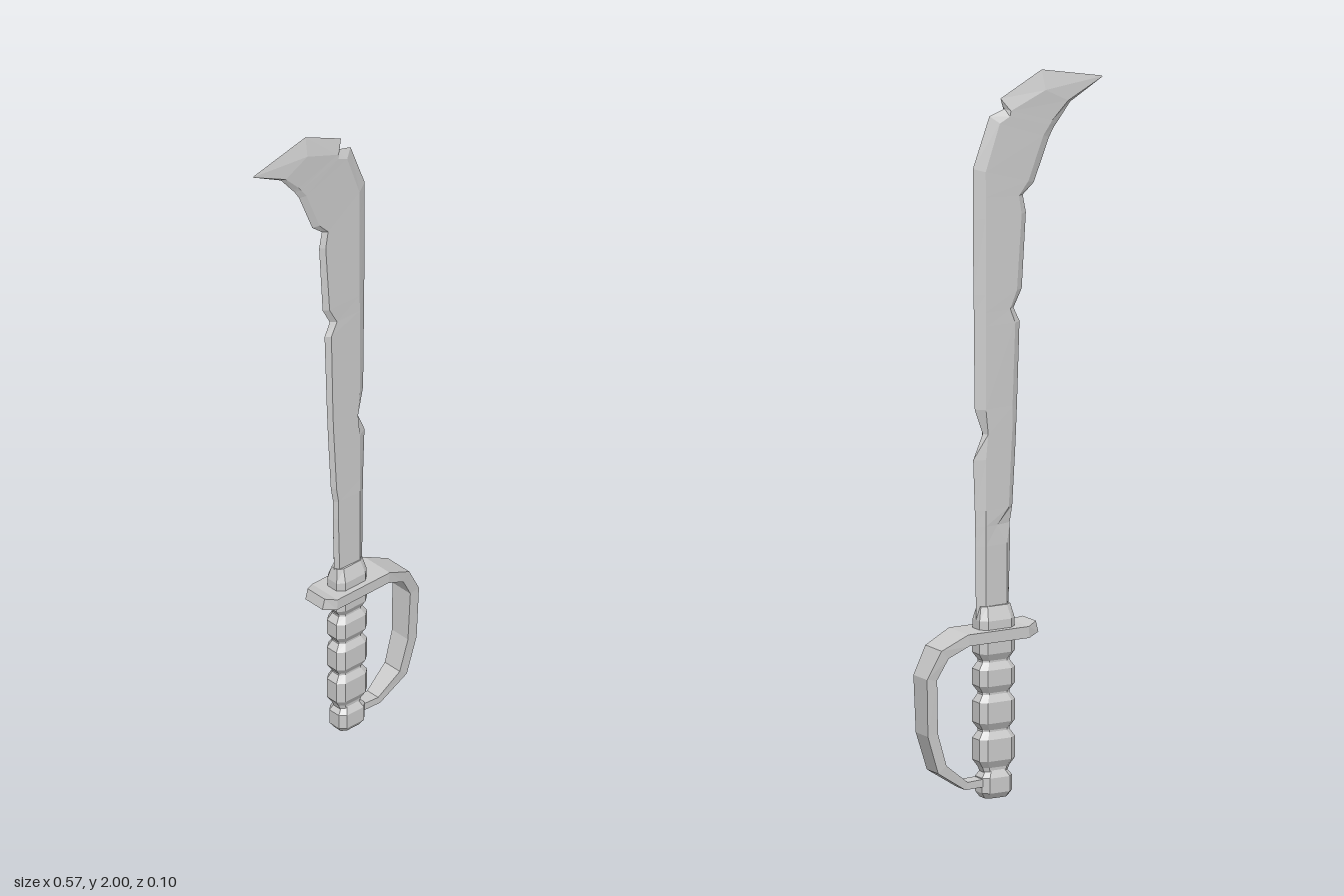
import * as THREE from 'three';

const material = new THREE.MeshStandardMaterial({ color: 0xcccccc, flatShading: true });

// Skins a stack of rings (equal point counts) and closes both ends.
function loft(name, rings) {
  const n = rings[0].length, pos = [], idx = [];
  rings.forEach(r => r.forEach(p => pos.push(...p)));
  for (let i = 0; i < rings.length - 1; i++) {
    for (let j = 0; j < n; j++) {
      const a = i * n + j, b = i * n + (j + 1) % n;
      idx.push(a, b, b + n, a, b + n, a + n);
    }
  }
  const top = (rings.length - 1) * n;
  for (let j = 1; j < n - 1; j++) idx.push(0, j + 1, j, top, top + j, top + j + 1);
  const indexed = new THREE.BufferGeometry();
  indexed.setAttribute('position', new THREE.Float32BufferAttribute(pos, 3));
  indexed.setIndex(idx);
  const geo = indexed.toNonIndexed();
  geo.computeVertexNormals();
  const mesh = new THREE.Mesh(geo, material);
  mesh.name = name;
  return mesh;
}

// Blade: cutting edge, spine ridge, spine edge, then front and back bevel share.
function makeBlade() {
  const stations = [
    [[0.012, 0.45], [0.09, 0.45], [0.112, 0.45], 0.1, 0.15],
    [[0.005, 0.7], [0.09, 0.7], [0.114, 0.7], 0.1, 0.2],
    [[0.006, 0.755], [0.09, 0.755], [0.115, 0.755], 0.1, 0.55],
    [[-0.002, 0.8], [0.09, 0.8], [0.116, 0.8], 0.1, 0.2],
    [[-0.011, 0.95], [0.09, 0.94], [0.121, 0.94], 0.1, 0.2],
    [[-0.014, 1.01], [0.083, 1.01], [0.091, 1.01], 0.1, 0.2],
    [[-0.017, 1.08], [0.09, 1.08], [0.116, 1.08], 0.1, 0.2],
    [[-0.025, 1.31], [0.09, 1.31], [0.119, 1.31], 0.12, 0.18],
    [[-0.006, 1.35], [0.09, 1.35], [0.119, 1.35], 0.16, 0.18],
    [[-0.032, 1.4], [0.09, 1.4], [0.12, 1.4], 0.12, 0.18],
    [[-0.045, 1.61], [0.09, 1.61], [0.122, 1.61], 0.1, 0.15],
    [[-0.035, 1.66], [0.09, 1.67], [0.122, 1.68], 0.1, 0.15],
    [[-0.07, 1.69], [0.09, 1.74], [0.122, 1.75], 0.1, 0.15],
    [[-0.118, 1.81], [0.045, 1.87], [0.07, 1.89], 0.1, 0.15],
    [[-0.135, 1.838], [0.013, 1.885], [0.022, 1.905], 0.1, 0.15],
    [[-0.145, 1.85], [0.01, 1.9], [0.035, 1.935], 0.1, 0.15],
    [[-0.185, 1.9], [-0.1, 1.945], [-0.095, 2.0], 0.1, 0.15],
    [[-0.287, 1.957], [-0.285, 1.958], [-0.284, 1.96], 0.1, 0.15],
  ];
  return loft('blade', stations.map(([cut, ridge, spine, front, back], i) => {
    const tip = i === stations.length - 1;
    const z = tip ? 0.0005 : 0.017 - 0.004 * i / stations.length;
    const mix = t => [cut[0] + (ridge[0] - cut[0]) * t, cut[1] + (ridge[1] - cut[1]) * t];
    return [[...cut, 0], [...mix(front), z * 0.8], [...ridge, z],
      [...spine, 0], [...ridge, -z], [...mix(back), -z * 0.8]];
  }));
}

// Eight-sided stack of [height, half width, half depth] rings around the hilt axis.
function hiltStack(name, profile) {
  return loft(name, profile.map(([y, hx, hz]) => {
    const cx = hx * 0.66, cz = hz * 0.55;
    return [[-hx, cz], [-cx, hz], [cx, hz], [hx, cz], [hx, -cz], [cx, -hz], [-cx, -hz], [-hx, -cz]]
      .map(([x, z]) => [0.057 + x, y, z]);
  }));
}

// Flat knuckle bow: [x, y, half depth] along its centre line.
function makeGuard() {
  const path = [
    [-0.06, 0.464, 0.034], [-0.025, 0.455, 0.051], [0.165, 0.455, 0.051], [0.235, 0.422, 0.043],
    [0.272, 0.355, 0.036], [0.267, 0.2, 0.032], [0.236, 0.1, 0.03], [0.155, 0.043, 0.022],
    [0.085, 0.045, 0.02],
  ];
  return loft('guard', path.map(([x, y, w], i) => {
    const p = path[Math.max(i - 1, 0)], q = path[Math.min(i + 1, path.length - 1)];
    const len = Math.hypot(q[0] - p[0], q[1] - p[1]);
    const h = i > 6 ? 0.011 : 0.016;
    const nx = -(q[1] - p[1]) / len * h, ny = (q[0] - p[0]) / len * h;
    return [[x + nx, y + ny, w], [x - nx, y - ny, w], [x - nx, y - ny, -w], [x + nx, y + ny, -w]];
  }));
}

export function createModel() {
  const model = new THREE.Group();
  model.name = 'cutlass';
  model.add(makeBlade(), makeGuard());

  // Grip with four swellings divided by grooves
  const grip = [[0.07, 0.036, 0.023]];
  for (const [low, high] of [[0.085, 0.185], [0.19, 0.288], [0.293, 0.378], [0.383, 0.46]]) {
    grip.push([low, 0.042, 0.024], [low + 0.02, 0.056, 0.034],
      [high - 0.02, 0.056, 0.034], [high, 0.042, 0.024]);
  }
  model.add(hiltStack('grip', grip));

  model.add(hiltStack('pommel', [
    [0, 0.036, 0.024], [0.016, 0.047, 0.034], [0.058, 0.047, 0.034], [0.08, 0.03, 0.022],
  ]));
  model.add(hiltStack('collar', [
    [0.45, 0.055, 0.034], [0.495, 0.055, 0.034], [0.533, 0.046, 0.02],
  ]));
  return model;
}
